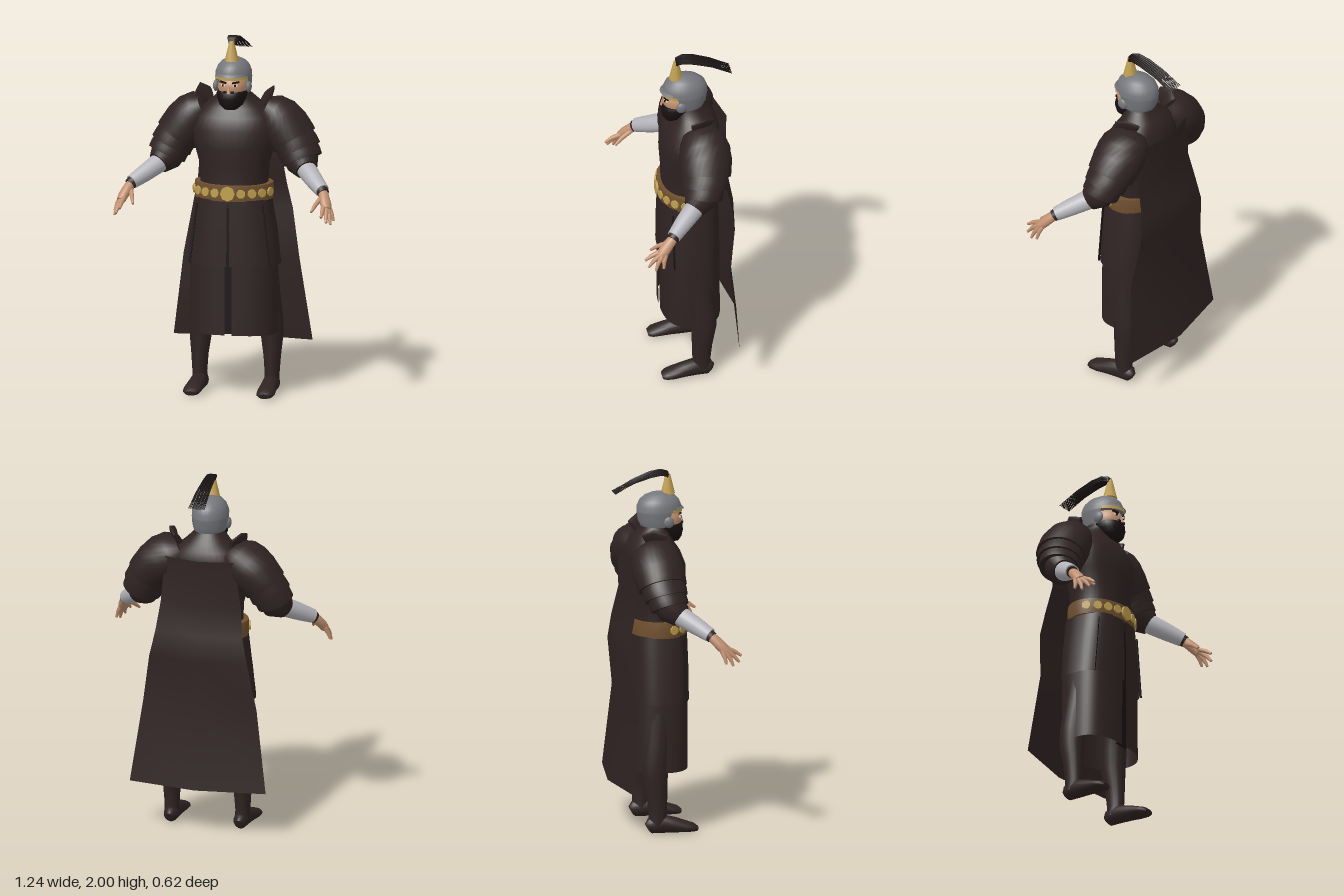
import * as THREE from 'three';

const mat = (name, color, side = THREE.FrontSide) => {
  const m = new THREE.MeshStandardMaterial({ color, side });
  m.name = name;
  return m;
};

// Skin of rings through sections [x, y, z, rx, rz]; rings lie flat, or square to the path when follow is set
function sweep(sections, { follow = false, n = 2, from = 0, to = Math.PI * 2, segs = 28, cap = true } = {}) {
  const closed = to - from > 6.28;
  const path = sections.map(s => new THREE.Vector3(s[0], s[1], s[2]));
  const turns = path.map((p, i) => {
    const q = new THREE.Quaternion();
    if (!follow) return q;
    const t = path[Math.min(i + 1, path.length - 1)].clone().sub(path[Math.max(i - 1, 0)]).normalize();
    return q.setFromUnitVectors(new THREE.Vector3(0, 1, 0), t);
  });
  const rows = sections.map((s, i) => ({ c: path[i], q: turns[i], rx: s[3], rz: s[4] ?? s[3] }));
  if (closed && cap) {
    const a = rows[0], b = rows[rows.length - 1];
    rows.unshift({ ...a, rx: 0, rz: 0 }, { ...a });
    rows.push({ ...b }, { ...b, rx: 0, rz: 0 });
  }
  const cols = closed ? segs : segs + 1, pos = [], idx = [];
  const bend = v => Math.sign(v) * Math.abs(v) ** (2 / n);
  for (const r of rows) for (let i = 0; i < cols; i++) {
    const a = from + (to - from) * i / segs;
    const p = new THREE.Vector3(r.rx * bend(Math.sin(a)), 0, r.rz * bend(Math.cos(a)));
    pos.push(...p.applyQuaternion(r.q).add(r.c).toArray());
  }
  for (let j = 0; j < rows.length - 1; j++) for (let i = 0; i < segs; i++) {
    const a = j * cols + i, b = j * cols + (i + 1) % cols;
    idx.push(a, b, b + cols, a, b + cols, a + cols);
  }
  const g = new THREE.BufferGeometry();
  g.setAttribute('position', new THREE.Float32BufferAttribute(pos, 3));
  g.setIndex(idx);
  g.computeVertexNormals();
  return g;
}

export function createModel() {
  const model = new THREE.Group();
  const cloth = mat('darkCloth', 0x2f2322, THREE.DoubleSide);
  const black = mat('blackHair', 0x181112, THREE.DoubleSide);
  const steel = mat('helmetSteel', 0x75777c, THREE.DoubleSide);
  const silver = mat('silver', 0xb4b4ba);
  const gold = mat('gold', 0xc0a050, THREE.DoubleSide);
  const leather = mat('beltLeather', 0x70502f, THREE.DoubleSide);
  const skin = mat('skin', 0xc09070);
  const white = mat('eyeWhite', 0xe0dcd6);
  const add = (name, geo, material, parent = model) => {
    const m = new THREE.Mesh(geo, material);
    m.name = name;
    parent.add(m);
    return m;
  };
  const limb = (name, sections, material, parent, segs = 20) =>
    add(name, sweep(sections, { follow: true, segs }), material, parent);

  // Torso and neck
  add('torso', sweep([
    [0, 1.08, -.04, .195, .15], [0, 1.18, -.04, .187, .145], [0, 1.28, -.042, .192, .15], [0, 1.38, -.045, .22, .16],
    [0, 1.48, -.05, .245, .162], [0, 1.55, -.062, .225, .147], [0, 1.6, -.07, .175, .122],
    [0, 1.64, -.065, .125, .1], [0, 1.68, -.045, .085, .08], [0, 1.72, -.03, .075, .08]], { n: 2.2, segs: 36 }), cloth);

  // Skirts, open down the front
  const slit = { n: 2.6, segs: 48, cap: false };
  add('longSkirt', sweep([[0, .345, -.045, .245, .163], [0, .73, -.043, .238, .163], [0, 1.1, -.04, .195, .155]],
    { ...slit, from: .04, to: Math.PI * 2 - .04 }), cloth);
  add('shortSkirt', sweep([[0, .73, -.04, .256, .165], [0, .92, -.04, .235, .164], [0, 1.1, -.04, .203, .16]],
    { ...slit, from: .012, to: Math.PI * 2 - .012 }), cloth);
  const lining = add('frontLining', new THREE.BoxGeometry(.09, .7, .008), black);
  lining.position.set(0, .7, .095);
  for (const s of [-1, 1]) {
    const seam = add('skirtSeam', new THREE.BoxGeometry(.008, .34, .008), black);
    seam.position.set(s * .204, .9, .075);
    seam.rotation.z = s * .12;
  }

  // Belt with studs
  add('belt', sweep([[0, 1.095, -.035, .217, .163], [0, 1.14, -.035, .221, .166], [0, 1.183, -.035, .217, .163]],
    { segs: 48 }), leather);
  for (const x of [-.212, -.178, -.13, -.073, 0, .073, .13, .178, .212]) {
    const a = Math.asin(x / .221), r = x ? .025 : .041;
    const stud = add('beltStud', new THREE.CylinderGeometry(r, r, .014, 8), gold);
    stud.position.set(x, 1.14, -.035 + .167 * Math.cos(a));
    stud.quaternion.setFromUnitVectors(new THREE.Vector3(0, 1, 0),
      new THREE.Vector3(Math.sin(a) / .221, 0, Math.cos(a) / .166).normalize());
  }

  // Legs, feet and arms, mirrored
  for (const s of [1, -1]) {
    const side = new THREE.Group();
    side.name = s > 0 ? 'leftLimbs' : 'rightLimbs';
    model.add(side);
    const flip = list => list.map(([x, ...rest]) => [s * x, ...rest]);

    add('leg', sweep(flip([[.2, .04, -.082, .042, .05], [.203, .1, -.078, .04, .05], [.203, .2, -.082, .047, .057],
      [.2, .32, -.092, .062, .07], [.195, .42, -.088, .066, .075], [.185, .52, -.075, .067, .075],
      [.15, .8, -.05, .08, .095]]), { segs: 20 }), cloth, side);
    limb('foot', flip([[.2, .035, -.137, .018, .025], [.2, .044, -.12, .038, .044], [.2, .052, -.05, .044, .052],
      [.203, .042, .02, .046, .042], [.206, .031, .08, .051, .031], [.206, .024, .12, .047, .024],
      [.206, .017, .142, .03, .014]]), cloth, side);

    limb('shoulderPlate', flip([[.15, 1.585, -.075, .075, .1], [.19, 1.56, -.085, .115, .13], [.235, 1.525, -.09, .132, .142],
      [.28, 1.48, -.088, .132, .145], [.32, 1.43, -.08, .125, .14], [.33, 1.415, -.078, .124, .138]]), cloth, side, 28);
    limb('upperSleevePlate', flip([[.3, 1.455, -.08, .11, .125], [.345, 1.39, -.07, .114, .128],
      [.36, 1.36, -.065, .115, .126]]), cloth, side, 28);
    limb('lowerSleevePlate', flip([[.34, 1.39, -.068, .1, .115], [.372, 1.335, -.055, .104, .115],
      [.382, 1.312, -.05, .103, .112]]), cloth, side, 28);
    limb('elbowSleeve', flip([[.36, 1.35, -.055, .09, .1], [.385, 1.3, -.035, .087, .092],
      [.415, 1.268, .005, .062, .064]]), cloth, side);
    limb('collarPlate', flip([[.15, 1.64, -.13, .014, .05], [.185, 1.655, -.09, .016, .06],
      [.2, 1.645, -.03, .012, .04]]), cloth, side);

    limb('bracer', flip([[.395, 1.282, -.02, .052], [.425, 1.262, .015, .054], [.48, 1.222, .08, .048],
      [.535, 1.184, .14, .039]]), silver, side);
    limb('wristCuff', flip([[.529, 1.187, .133, .034], [.544, 1.172, .15, .032]]), cloth, side);

    // Hand
    limb('palm', flip([[.535, 1.18, .14, .026], [.55, 1.158, .165, .03, .027], [.568, 1.122, .2, .033, .027],
      [.577, 1.097, .22, .026, .024]]), skin, side);
    const fingers = [
      [[.534, 1.15, .17], [.515, 1.12, .225], [.5, 1.088, .265]],
      [[.56, 1.115, .22], [.564, 1.092, .272], [.565, 1.068, .308]],
      [[.574, 1.104, .222], [.584, 1.07, .265], [.59, 1.037, .292]],
      [[.583, 1.1, .212], [.597, 1.06, .24], [.607, 1.02, .255]],
      [[.585, 1.106, .195], [.603, 1.07, .208], [.615, 1.034, .212]]];
    for (const f of fingers)
      limb('finger', flip(f.map((p, i) => [...p, [.014, .012, .007][i]])), skin, side, 10);
  }

  // Head
  const head = new THREE.Group();
  head.name = 'head';
  model.add(head);
  const face = add('face', new THREE.SphereGeometry(1, 28, 20), skin, head);
  face.scale.set(.08, .085, .098);
  face.position.set(0, 1.717, 0);
  const nose = add('nose', new THREE.ConeGeometry(.014, .045, 8), skin, head);
  nose.position.set(0, 1.718, .1);
  for (const s of [-1, 1]) {
    for (const [name, w, h, x, y, z, m] of [['eyeWhite', .026, .01, .033, 1.737, .088, white],
      ['pupil', .01, .011, .033, 1.737, .09, black], ['eyebrow', .04, .009, .036, 1.754, .086, black]]) {
      const plate = add(name, new THREE.BoxGeometry(w, h, .009), m, head);
      plate.position.set(s * x, y, z);
      plate.rotation.set(0, s * .4, name === 'eyebrow' ? s * .15 : 0);
    }
    const ear = add('earGuard', new THREE.SphereGeometry(1, 14, 10), steel, head);
    ear.scale.set(.016, .032, .03);
    ear.position.set(s * .092, 1.72, .01);
  }
  add('beard', sweep([[0, 1.6, .05, .035, .035], [0, 1.625, .035, .065, .065], [0, 1.66, .022, .08, .085],
    [0, 1.685, .015, .084, .09], [0, 1.7, .01, .08, .088]], { n: 2.2 }), black, head);
  const moustache = add('moustache', new THREE.BoxGeometry(.06, .012, .009), black, head);
  moustache.position.set(0, 1.7, .1);

  // Helmet with brow band and spike
  add('helmetDome', sweep([[0, 1.768, -.025, .1, .125], [0, 1.8, -.025, .098, .123], [0, 1.83, -.025, .087, .111],
    [0, 1.855, -.024, .066, .085], [0, 1.87, -.022, .04, .052], [0, 1.877, -.02, .012, .015]]), steel, head);
  add('helmetNeckGuard', sweep([[0, 1.69, -.03, .088, .098], [0, 1.72, -.028, .096, .114], [0, 1.77, -.025, .1, .125]],
    { from: 1.15, to: Math.PI * 2 - 1.15 }), steel, head);
  add('browBand', sweep([[0, 1.766, -.025, .102, .129], [0, 1.784, -.025, .102, .129]], { from: -1.1, to: 1.1 }), gold, head);
  add('visor', sweep([[0, 1.782, -.025, .102, .138], [0, 1.797, -.025, .099, .124]], { from: -.9, to: .9 }), steel, head);
  const spike = add('plumeHolder', new THREE.CylinderGeometry(.013, .04, .11, 8), gold, head);
  spike.position.set(0, 1.918, .025);

  // Plume strands fanning backwards
  const plume = new THREE.Group();
  plume.name = 'plume';
  model.add(plume);
  for (let i = 0; i < 15; i++) {
    const t = i / 7 - 1, drop = .008 * (i % 3);
    limb('plumeStrand', [[t * .006, 1.945, .025, .007], [t * .016, 1.982 - drop, .018, .009], [t * .024, 1.99 - drop, -.015, .008],
      [t * .031, 1.98 - drop, -.075, .006], [t * .038, 1.943 - drop / 2, -.17, .0035], [t * .045, 1.882, -.28, .0015]],
    black, plume, 6);
  }

  // Cape, folded along its middle: [y, half width, z of edge, z of fold]
  const rows = [[1.57, .2, -.215, -.258], [1.3, .23, -.2, -.245], [1.14, .25, -.235, -.27], [1, .28, -.25, -.295],
    [.73, .325, -.215, -.265], [.265, .39, -.255, -.313]];
  const cape = new THREE.PlaneGeometry(2, 1, 2, rows.length - 1);
  const p = cape.attributes.position;
  for (let i = 0; i < p.count; i++) {
    const [y, w, edge, fold] = rows[Math.floor(i / 3)], x = p.getX(i);
    p.setXYZ(i, x * w, y, Math.abs(x) > .5 ? edge : fold);
  }
  cape.computeVertexNormals();
  add('cape', cape, cloth);
  return model;
}
